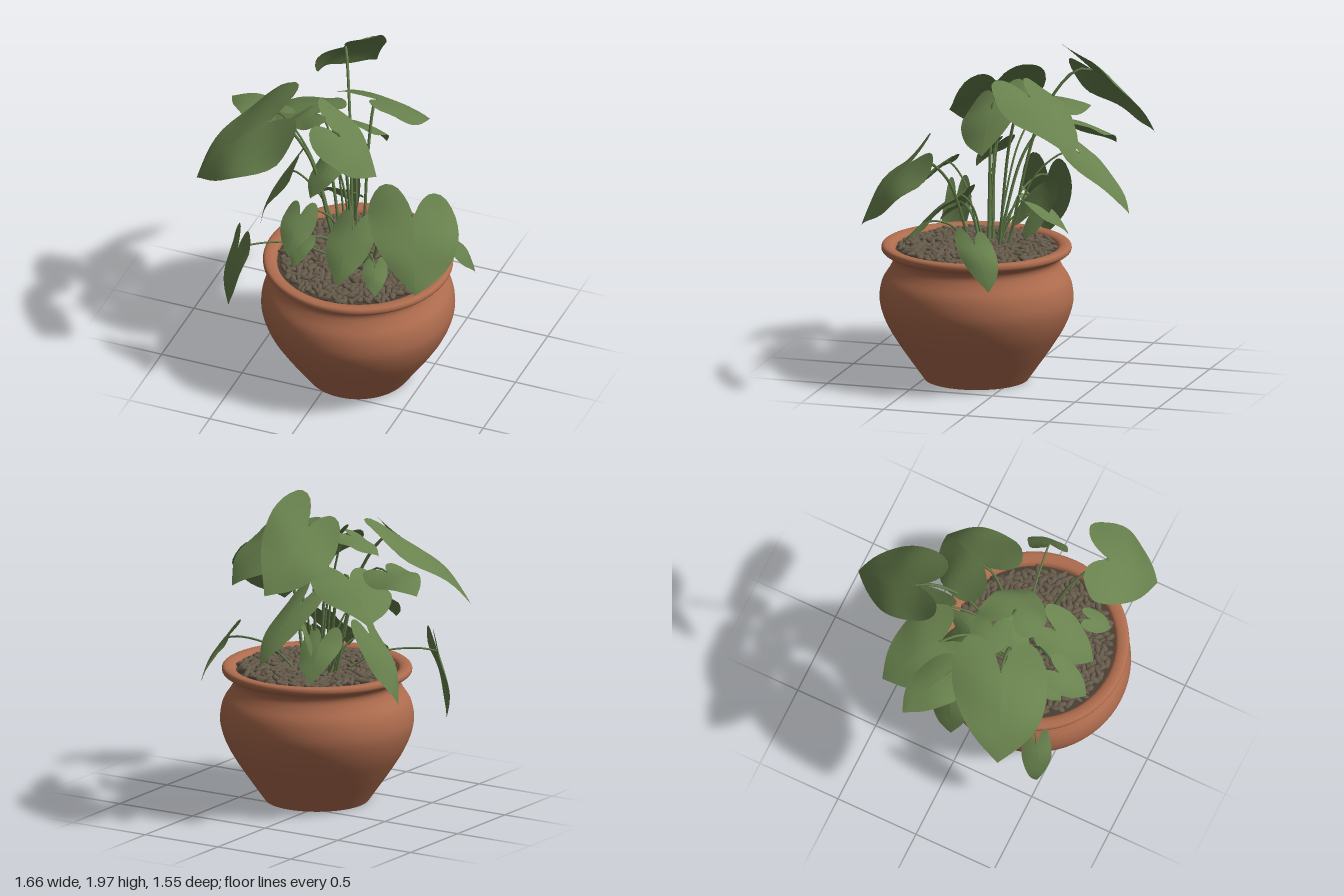
import * as THREE from 'three';
import { mergeGeometries } from 'three/addons/utils/BufferGeometryUtils.js';

const V = (a) => new THREE.Vector3(...a);
const POT_X = 0.11, POT_Z = 0.22;

function seeded(seed) {
  return () => ((seed = (seed * 16807) % 2147483647) / 2147483647);
}

// Half outline of a heart-shaped leaf: x across (0..1), y along (0 = stalk, 1 = tip)
const HALF = new THREE.CatmullRomCurve3([
  [0, 0], [0.14, -0.19], [0.38, -0.34], [0.69, -0.33], [0.93, -0.13], [1, 0.1],
  [0.93, 0.34], [0.75, 0.56], [0.49, 0.75], [0.2, 0.9], [0, 1],
].map(([x, y]) => new THREE.Vector3(x, y, 0)));

// Blade spanned by stalk point, tip and half-width vector, arched along and across
function leafGeometry(base, tip, side, wave) {
  const along = tip.clone().sub(base);
  const normal = new THREE.Vector3().crossVectors(along, side).normalize();
  if (normal.y < 0) normal.negate();
  const w = side.length(), l = along.length();
  const rows = 22, cols = 5, pos = [], index = [];
  for (const s of [-1, 1]) {
    const start = pos.length / 3;
    for (let i = 0; i <= rows; i++) {
      const t = i / rows, edge = HALF.getPoint(t);
      for (let j = 0; j <= cols; j++) {
        const k = j / cols;
        const v = s * edge.x * k, u = t * (1 - k) + edge.y * k;
        const arch = u > 0 ? 0.28 * u * (1 - u) : 0.12 * u;
        const lift = l * arch - 0.2 * w * v * v
          + 0.07 * w * Math.abs(v) * Math.sin(7 * u + s + wave);
        const p = base.clone().addScaledVector(along, u).addScaledVector(side, v)
          .addScaledVector(normal, lift);
        pos.push(p.x, p.y, p.z);
      }
    }
    for (let i = 0; i < rows; i++) for (let j = 0; j < cols; j++) {
      const a = start + i * (cols + 1) + j, b = a + cols + 1;
      if (s > 0) index.push(a, b, a + 1, b, b + 1, a + 1);
      else index.push(a, a + 1, b, b, a + 1, b + 1);
    }
  }
  const g = new THREE.BufferGeometry();
  g.setAttribute('position', new THREE.Float32BufferAttribute(pos, 3));
  g.setIndex(index);
  g.computeVertexNormals();
  return g;
}

// Stalk arching out of the soil to the leaf
function stemGeometry(root, end, radius) {
  const mid = root.clone().lerp(end, 0.4);
  mid.y = root.y + (end.y - root.y) * 0.72 + 0.03;
  const near = root.clone().lerp(end, 0.8);
  near.y = root.y + (end.y - root.y) * 0.98 + 0.02;
  const curve = new THREE.CatmullRomCurve3([root, mid, near, end]);
  return new THREE.TubeGeometry(curve, 18, radius, 6);
}

// Grown leaves: stalk point, tip, half-width vector
const GROWN = [
  [[-0.21, 1.8, -0.38], [-0.17, 1.47, -0.77], [0.18, 0.14, -0.03]],   // tallest, back
  [[0.1, 1.69, -0.1], [0.28, 1.39, -0.42], [0.22, 0.02, 0.11]],       // back centre
  [[-0.43, 1.63, 0.27], [-0.81, 1.25, 0.43], [0.1, -0.07, 0.26]],     // large, right front
  [[0.56, 1.36, 0.48], [0.67, 1.0, 0.74], [0.25, -0.05, -0.08]],      // large, left front
  [[-0.36, 1.46, -0.16], [-0.64, 1.27, -0.39], [0.15, 0.03, -0.18]],  // right back
  [[-0.13, 1.32, -0.33], [-0.06, 1.0, -0.65], [0.12, 0, 0.03]],       // low back
  [[-0.54, 1.5, -0.03], [-0.83, 1.43, -0.17], [-0.06, 0.02, 0.14]],   // far right
  [[-0.07, 1.6, 0.17], [0.2, 1.34, 0.16], [0.03, -0.07, 0.18]],       // centre
  [[-0.2, 1.64, 0.1], [-0.38, 1.54, 0.12], [0.02, 0, 0.12]],          // upper centre
  [[-0.43, 1.1, -0.04], [-0.58, 0.7, 0.02], [0.03, 0.03, 0.14]],      // hanging right
  [[-0.51, 0.9, 0.54], [-0.56, 0.5, 0.56], [0.07, 0, 0.06]],          // hanging right front
  [[0.64, 0.92, 0.06], [0.73, 0.67, -0.05], [0.03, 0.02, 0.11]],      // over rim, left
  [[-0.04, 0.95, -0.05], [-0.05, 1.19, -0.24], [0.05, 0.07, 0.05]],   // upright, behind
];

// Young leaves hang at one slope: stalk x, y, z, heading from the front, length
const YOUNG = [
  [0.13, 1.07, 0.35, 0, 0.34],
  [-0.14, 1.2, 0.5, 0, 0.25],
  [0.32, 0.94, 0.48, 0.4, 0.17],
  [-0.1, 1.03, -0.06, 3.4, 0.29],
  [-0.09, 1.36, 0.15, -0.4, 0.24],
  [-0.15, 0.96, 0.42, -0.2, 0.16],
];

export function createModel() {
  const model = new THREE.Group();
  const material = (name, color, side = THREE.FrontSide) => {
    const m = new THREE.MeshStandardMaterial({ color, side });
    m.name = name;
    return m;
  };
  const clay = material('terracotta', 0xae6c4e, THREE.DoubleSide);
  const green = material('leaf green', 0x68814d, THREE.DoubleSide);
  const stalk = material('stem green', 0x627d49);
  const stone = material('pebble brown', 0x665b4b);
  const earth = material('dark soil', 0x4a4034);
  const add = (name, geometry, mat) => {
    const m = new THREE.Mesh(geometry, mat);
    m.name = name;
    model.add(m);
    return m;
  };

  // Pot with shallow foot, round belly, narrow neck and flared rim
  const belly = new THREE.SplineCurve([
    [0.3, 0], [0.36, 0.085], [0.44, 0.2], [0.51, 0.315], [0.551, 0.42], [0.56, 0.5],
    [0.543, 0.585], [0.5, 0.655], [0.482, 0.7], [0.495, 0.735], [0.54, 0.757],
    [0.55, 0.778], [0.54, 0.798], [0.505, 0.8], [0.475, 0.785], [0.462, 0.74],
  ].map(([x, y]) => new THREE.Vector2(x, y))).getPoints(60);
  const pot = add('pot', new THREE.LatheGeometry(belly, 64), clay);
  const foot = add('potFoot', new THREE.CircleGeometry(0.3, 64).rotateX(Math.PI / 2), clay);
  const soil = add('soil', new THREE.CircleGeometry(0.47, 48).rotateX(-Math.PI / 2), earth);
  pot.position.set(POT_X, 0, POT_Z);
  foot.position.copy(pot.position);
  soil.position.set(POT_X, 0.765, POT_Z);

  // Elongated pebbles scattered in a sunflower pattern
  const rnd = seeded(71);
  const pebbles = [];
  const count = 560;
  for (let i = 0; i < count; i++) {
    const r = 0.445 * Math.sqrt((i + 0.5) / count), a = i * 2.39996;
    const g = new THREE.SphereGeometry(1, 8, 6);
    g.scale(0.029 + rnd() * 0.014, 0.013 + rnd() * 0.005, 0.015 + rnd() * 0.006);
    g.rotateZ((rnd() - 0.5) * 0.9).rotateY(rnd() * Math.PI);
    g.translate(POT_X + r * Math.cos(a), 0.775 + rnd() * 0.016, POT_Z + r * Math.sin(a));
    pebbles.push(g);
  }
  add('pebbles', mergeGeometries(pebbles), stone);

  // Each leaf sits on its own stem rising from the clump
  const addLeaf = (base, tip, side, wave) => {
    add('leaf', leafGeometry(base, tip, side, wave), green);
    const root = new THREE.Vector3(
      0.06 + base.x * 0.22 + (rnd() - 0.5) * 0.06, 0.77,
      0.14 + base.z * 0.2 + (rnd() - 0.5) * 0.06);
    add('stem', stemGeometry(root, base, side.length() > 0.18 ? 0.009 : 0.006), stalk);
  };
  GROWN.forEach(([base, tip, side], i) => addLeaf(V(base), V(tip), V(side), i * 1.7));
  YOUNG.forEach(([x, y, z, heading, length], i) => {
    const s = Math.sin(heading), c = Math.cos(heading);
    const base = V([x, y, z]);
    const tip = V([0.7 * s, -0.71, 0.7 * c]).multiplyScalar(length).add(base);
    addLeaf(base, tip, V([c, 0.1, -s]).multiplyScalar(0.42 * length), i);
  });
  return model;
}
